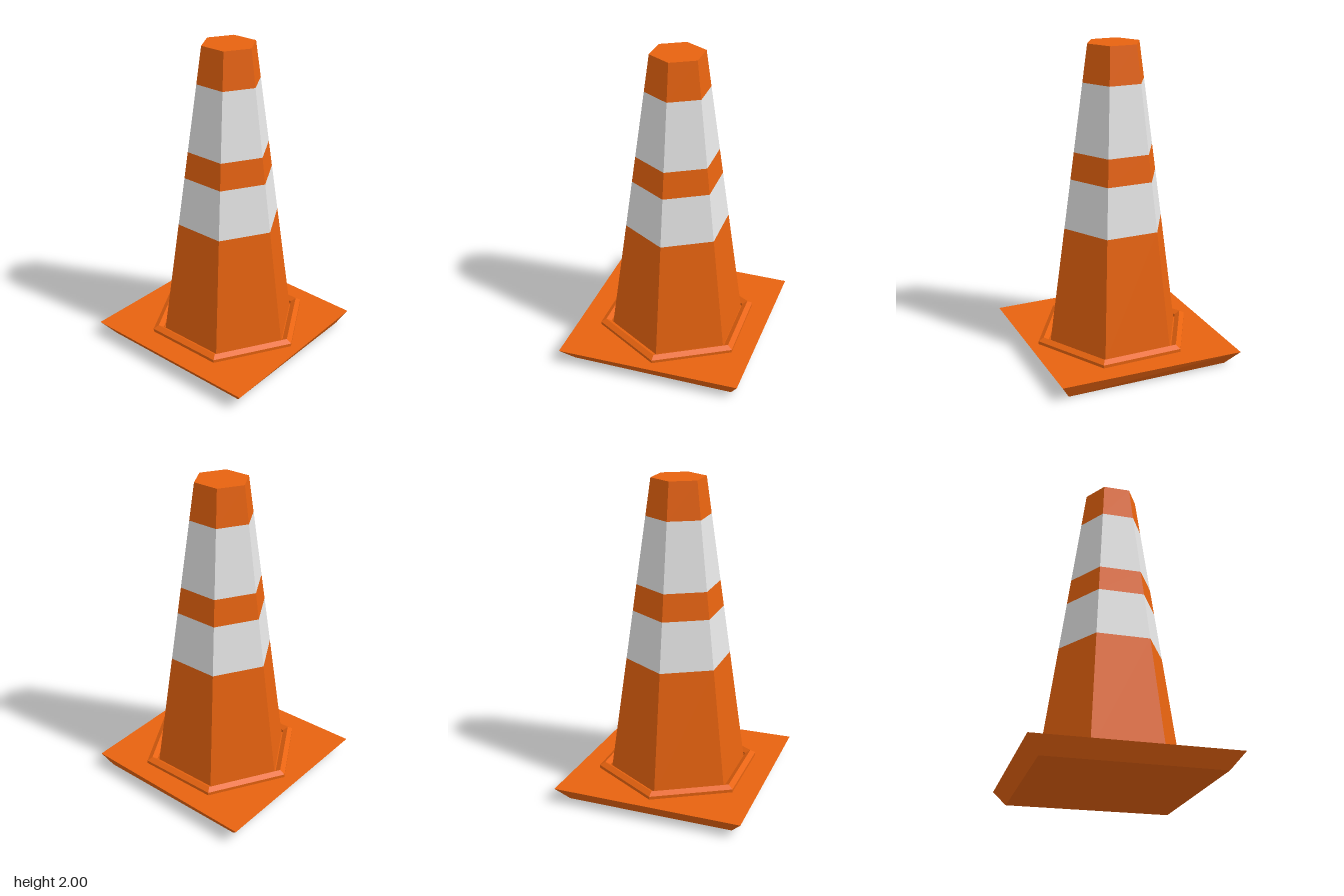
import * as THREE from 'three';

export function createModel() {
  const group = new THREE.Group();
  const orange = new THREE.MeshStandardMaterial({ color: 0xee6610, flatShading: true });
  orange.name = 'orange plastic';
  const white = new THREE.MeshStandardMaterial({ color: 0xe6e6e6, flatShading: true });
  white.name = 'white band';

  const add = (name, geometry, material) => {
    const mesh = new THREE.Mesh(geometry, material);
    mesh.name = name;
    group.add(mesh);
    return mesh;
  };

  // Six-sided tapered body, split into coloured bands from bottom to top
  const radiusAt = (y) => 0.17 + (2 - y) * 0.1443;
  const levels = [0.095, 0.86, 1.175, 1.345, 1.77, 2];
  const names = ['lowerBody', 'lowerStripe', 'middleBody', 'upperStripe', 'upperBody'];
  names.forEach((name, i) => {
    const y0 = levels[i], y1 = levels[i + 1];
    const band = new THREE.CylinderGeometry(radiusAt(y1), radiusAt(y0), y1 - y0, 6, 1, true);
    add(name, band, i % 2 ? white : orange).position.y = (y0 + y1) / 2;
  });

  // Flat cap closing the top
  const cap = new THREE.CircleGeometry(0.17, 6, Math.PI / 2).rotateX(-Math.PI / 2);
  add('topCap', cap, orange).position.y = 2;

  // Ridged hexagonal collar around the foot of the body
  const collar = [[0.525, 0.095], [0.525, 0.115], [0.49, 0.135], [0.455, 0.115], [0.455, 0.095]];
  add('collar', new THREE.LatheGeometry(collar.map(([r, y]) => new THREE.Vector2(r, y)), 6), orange);

  // Base slab with undercut sides and one slightly pulled-in corner
  const bottom = [[-0.535, 0.53], [0.525, 0.52], [0.54, -0.535], [-0.535, -0.535]];
  const top = [[-0.61, 0.605], [0.575, 0.575], [0.61, -0.61], [-0.61, -0.61]];
  const corners = [
    ...bottom.map(([x, z]) => [x, 0, z]),
    ...top.map(([x, z]) => [x, 0.095, z]),
  ];
  const index = [4, 5, 6, 4, 6, 7, 0, 2, 1, 0, 3, 2];
  for (let i = 0; i < 4; i++) {
    const j = (i + 1) % 4;
    index.push(i, j, j + 4, i, j + 4, i + 4);
  }
  const slab = new THREE.BufferGeometry();
  slab.setAttribute('position', new THREE.Float32BufferAttribute(corners.flat(), 3));
  slab.setIndex(index);
  const base = slab.toNonIndexed();
  base.computeVertexNormals();
  add('base', base, orange);

  return group;
}
